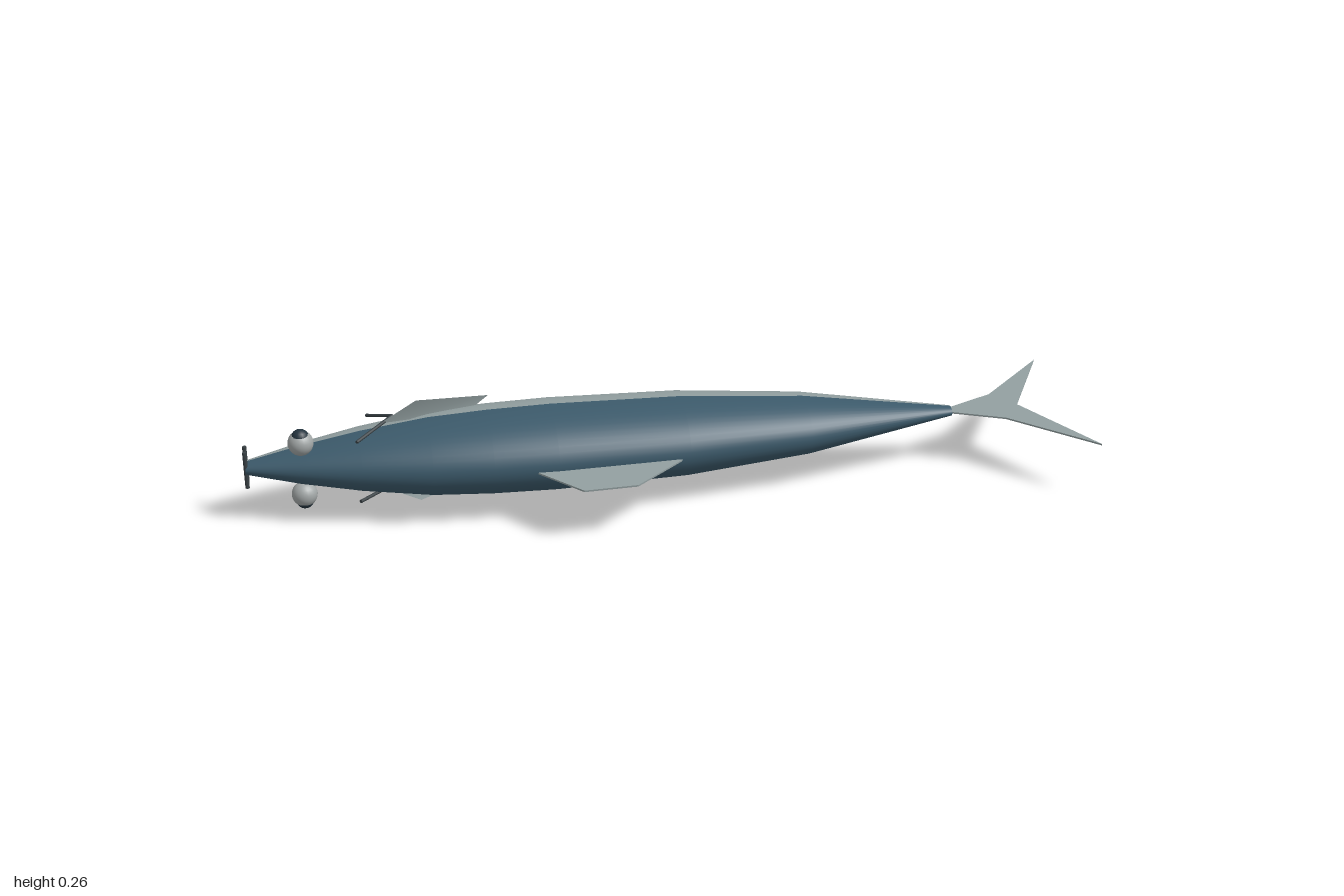
import * as THREE from 'three';

const CY = 0.135, CZ = -0.0075; // body axis

function material(name, color, side = THREE.FrontSide) {
  const m = new THREE.MeshStandardMaterial({ color, side });
  m.name = name;
  return m;
}

// Fish lying on its side: head at -x, tail at +x, back towards +z
export function createModel() {
  const group = new THREE.Group();
  const blue = material('slate blue', 0x3c5a6b, THREE.DoubleSide);
  const silver = material('silver grey', 0x93a0a1, THREE.DoubleSide);
  const pale = material('eye grey', 0xa3a8a8);
  const dark = material('dark grey', 0x3a4246);
  const pupilMat = material('dark blue', 0x24343f);

  const add = (name, geometry, mat, parent = group) => {
    const mesh = new THREE.Mesh(geometry, mat);
    mesh.name = name;
    parent.add(mesh);
    return mesh;
  };

  // Body stations: [x, half depth along z]
  const profile = [[-0.995, 0.023], [-0.87, 0.067], [-0.73, 0.106], [-0.57, 0.138], [-0.43, 0.149],
    [-0.28, 0.153], [0.03, 0.143], [0.33, 0.106], [0.7, 0.018]];

  // Part of the elliptical body between two angles, open at both ends
  function bodyPanel(from, to, n = 24) {
    const pos = [], index = [];
    profile.forEach(([x, r], i) => {
      for (let j = 0; j <= n; j++) {
        const t = THREE.MathUtils.degToRad(from + (to - from) * j / n);
        pos.push(x, CY + 0.625 * r * Math.sin(t), CZ + r * Math.cos(t));
        if (i < profile.length - 1 && j < n) {
          const a = i * (n + 1) + j, b = a + n + 1;
          index.push(a, b, a + 1, b, b + 1, a + 1);
        }
      }
    });
    const g = new THREE.BufferGeometry();
    g.setAttribute('position', new THREE.Float32BufferAttribute(pos, 3));
    g.setIndex(index);
    g.computeVertexNormals();
    return g;
  }
  add('back', bodyPanel(-92, 96), blue);
  add('belly', bodyPanel(96, 268), silver);

  // Thin flat fins in the horizontal plane, outlines as [x, z]
  function flatFin(name, outline) {
    const shape = new THREE.Shape(outline.map(([x, z]) => new THREE.Vector2(x, z)));
    const depth = 0.004;
    const g = new THREE.ExtrudeGeometry(shape, { depth, bevelEnabled: false });
    g.rotateX(Math.PI / 2).translate(0, CY + depth / 2, 0);
    add(name, g, silver);
  }
  flatFin('tailFin', [[0.69, -0.016], [0.82, -0.075], [0.998, -0.252], [0.87, -0.008],
    [0.998, 0.237], [0.82, 0.06], [0.69, 0.002]]);
  flatFin('dorsalFin', [[-0.36, 0.12], [-0.335, 0.14], [-0.24, 0.25], [-0.115, 0.245],
    [0.005, 0.14], [0.02, 0.12]]);

  // Straight thin bar between two points
  function bar(name, a, b, radius, parent) {
    const p = new THREE.Vector3(...a), q = new THREE.Vector3(...b);
    const mesh = add(name, new THREE.CylinderGeometry(radius, radius, p.distanceTo(q), 8), dark, parent);
    mesh.position.copy(p).lerp(q, 0.5);
    mesh.quaternion.setFromUnitVectors(new THREE.Vector3(0, 1, 0), q.sub(p).normalize());
  }

  // Lips: two bars across the snout
  for (const z of [-0.023, 0.008]) bar('lip', [-0.994, 0.09, z], [-0.994, 0.182, z], 0.005);

  // Eyes, gill lines and pectoral fins on both flanks
  for (const s of [1, -1]) {
    const side = new THREE.Group();
    side.name = s > 0 ? 'upperFlank' : 'lowerFlank';
    group.add(side);
    const at = (x, y, z) => [x, CY + s * y, z];

    add('eye', new THREE.SphereGeometry(0.03, 20, 14), pale, side).position.set(...at(-0.865, 0.066, 0.02));
    add('pupil', new THREE.SphereGeometry(0.021, 16, 12), pupilMat, side).position.set(...at(-0.865, 0.08, 0.022));

    bar('gillLine', at(-0.65, 0.088, -0.04), at(-0.708, 0.064, -0.103), 0.004, side);
    bar('gillLine', at(-0.65, 0.088, -0.04), at(-0.738, 0.077, 0.062), 0.004, side);

    const g = new THREE.BufferGeometry();
    g.setAttribute('position', new THREE.Float32BufferAttribute([
      ...at(-0.68, 0.084, -0.012), ...at(-0.594, 0.131, -0.022),
      ...at(-0.42, 0.1, -0.087), ...at(-0.47, 0.07, -0.07)], 3));
    g.setIndex(s > 0 ? [0, 2, 1, 0, 3, 2] : [0, 1, 2, 0, 2, 3]);
    g.computeVertexNormals();
    add('pectoralFin', g, silver, side);
  }
  return group;
}
